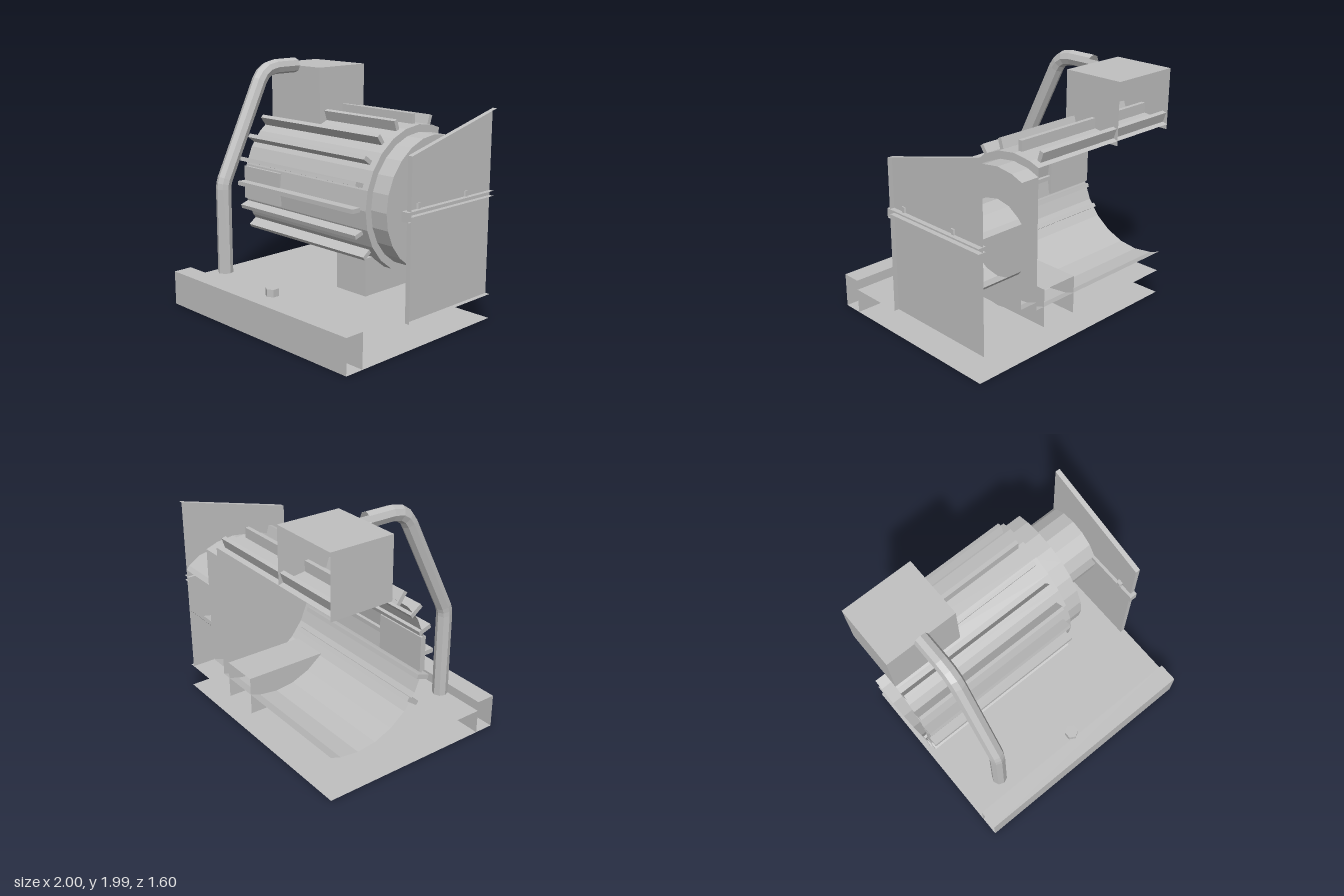
import * as THREE from 'three';

const AXIS_Y = 0.92, AXIS_Z = -0.56, BACK = -0.8;

export function createModel() {
  const group = new THREE.Group();
  const grey = new THREE.MeshStandardMaterial({ color: 0xc0c0c0, side: THREE.DoubleSide, flatShading: true });
  grey.name = 'machine grey';

  const add = (name, geo, x = 0, y = 0, z = 0) => {
    const mesh = new THREE.Mesh(geo, grey);
    mesh.name = name;
    mesh.position.set(x, y, z);
    group.add(mesh);
    return mesh;
  };

  // joins rows of [x, y, z] points with flat quads
  const loft = (rows) => {
    const pos = [];
    for (let i = 0; i < rows.length - 1; i++) {
      for (let j = 0; j < rows[i].length - 1; j++) {
        const a = rows[i][j], b = rows[i][j + 1], c = rows[i + 1][j + 1], d = rows[i + 1][j];
        pos.push(...a, ...b, ...c, ...a, ...c, ...d);
      }
    }
    const geo = new THREE.BufferGeometry();
    geo.setAttribute('position', new THREE.Float32BufferAttribute(pos, 3));
    geo.computeVertexNormals();
    return geo;
  };

  // sheet metal: a [z, y] outline drawn along x, open at both ends
  const sheet = (name, outline, x0, x1) =>
    add(name, loft([x0, x1].map((x) => outline.map(([z, y]) => [x, y, z]))));

  // flat face across x, from a [z, y] outline
  const face = (name, outline, x) => {
    const geo = new THREE.ShapeGeometry(new THREE.Shape(outline.map(([z, y]) => new THREE.Vector2(z, y))));
    geo.rotateY(-Math.PI / 2);
    return add(name, geo, x);
  };

  // drum outline, sectioned flat at the back
  const arc = (r, sides) => {
    const cut = Math.acos((BACK - AXIS_Z) / r), step = (2 * Math.PI) / sides;
    const n = Math.floor(cut / step), angles = [cut];
    for (let i = n; i >= -n; i--) angles.push(i * step);
    angles.push(-cut);
    return angles.map((a) => [AXIS_Z + r * Math.cos(a), AXIS_Y + r * Math.sin(a)]);
  };

  // base: deck, underside and front beam
  sheet('deck', [[0.64, 0.2], [BACK, 0.2]], -1, 1);
  sheet('underside', [[BACK, 0], [0.64, 0]], -1, 1);
  sheet('frontBeam', [[0.64, 0], [0.8, 0], [0.8, 0.28], [0.64, 0.28], [0.64, 0]], -1, 1);
  add('beamBolt', new THREE.CylinderGeometry(0.055, 0.055, 0.06, 6), 0, 0.31, 0.6);

  // motor drum, collar and shaft
  sheet('drum', arc(0.6, 24), -1, 0.44);
  face('drumEnd', arc(0.6, 24), 0.44);
  sheet('collar', arc(0.54, 24), 0.44, 0.6);
  face('collarEnd', arc(0.54, 24), 0.6);
  sheet('shaft', arc(0.3, 16), 0.6, 0.96);

  // cooling fins around the drum
  for (let i = -2; i <= 6; i++) {
    const a = (i * Math.PI) / 10, r = 0.625;
    const fin = add('coolingFin', new THREE.BoxGeometry(1.38, 0.035, 0.11),
      -0.31, AXIS_Y + r * Math.sin(a), AXIS_Z + r * Math.cos(a));
    fin.rotation.x = -a;
  }

  // name panel on the drum front
  add('drumPanel', new THREE.BoxGeometry(0.455, 0.28, 0.045), -0.7725, 0.92, 0.0225);

  // foot under the drum, open at the back
  const foot = [[BACK, 0.2], [-0.05, 0.2], [-0.05, 0.51], [BACK, 0.51]];
  sheet('foot', foot, 0.04, 0.36);
  for (const x of [0.04, 0.36]) face('footSide', foot, x);

  // terminal box, open at the back and towards the drum
  const box = [[-0.28, 1.43], [-0.28, 1.92], [BACK, 1.92]];
  sheet('terminalBox', box, -1, -0.4);
  for (const x of [-1, -0.4]) face('terminalBoxSide', [...box, [BACK, 1.43]], x);

  // cable conduit: octagonal section swept along a bent path of [z, y]
  const path = [[0.503, 0.28], [0.503, 0.98], [0.498, 1.02], [0.485, 1.06], [0.11, 1.82],
    [0.075, 1.87], [0.02, 1.908], [-0.06, 1.923], [-0.28, 1.923]];
  const rings = path.map(([z, y], i) => {
    const p = path[Math.max(i - 1, 0)], q = path[Math.min(i + 1, path.length - 1)];
    const end = i === 0 || i === path.length - 1;
    const unit = (u, v) => new THREE.Vector2(v[0] - u[0], v[1] - u[1]).normalize();
    const t = end ? unit(p, q) : unit(p, [z, y]).add(unit([z, y], q)).normalize();
    return Array.from({ length: 9 }, (_, k) => {
      const a = (k * Math.PI) / 4, c = 0.062 * Math.cos(a), s = 0.062 * Math.sin(a);
      return [-0.702 + c, y - t.x * s, z + t.y * s];
    });
  });
  add('conduit', loft(rings));
  const foothole = add('conduitEnd', new THREE.CircleGeometry(0.062, 8), -0.702, 0.28, 0.503);
  foothole.rotation.x = Math.PI / 2;

  // side plate with returned edges
  const plate = [[BACK, 0.2], [0.16, 0.2], [0.16, 1.44], [BACK, 1.68]];
  face('sidePlate', plate, 0.96);
  sheet('sidePlateEdge', plate, 0.96, 1);

  // rail with a down-turned front lip, and its bolts
  const rail = [[BACK, 1.0], [0.16, 1.0], [0.16, 0.965], [0.19, 0.965], [0.19, 1.04], [BACK, 1.04]];
  sheet('rail', rail, 0.935, 1);
  face('railSide', rail, 0.935);
  for (const z of [0.04, -0.5]) {
    add('railBolt', new THREE.CylinderGeometry(0.025, 0.025, 0.045, 6), 0.95, 1.06, z);
  }

  return group;
}
